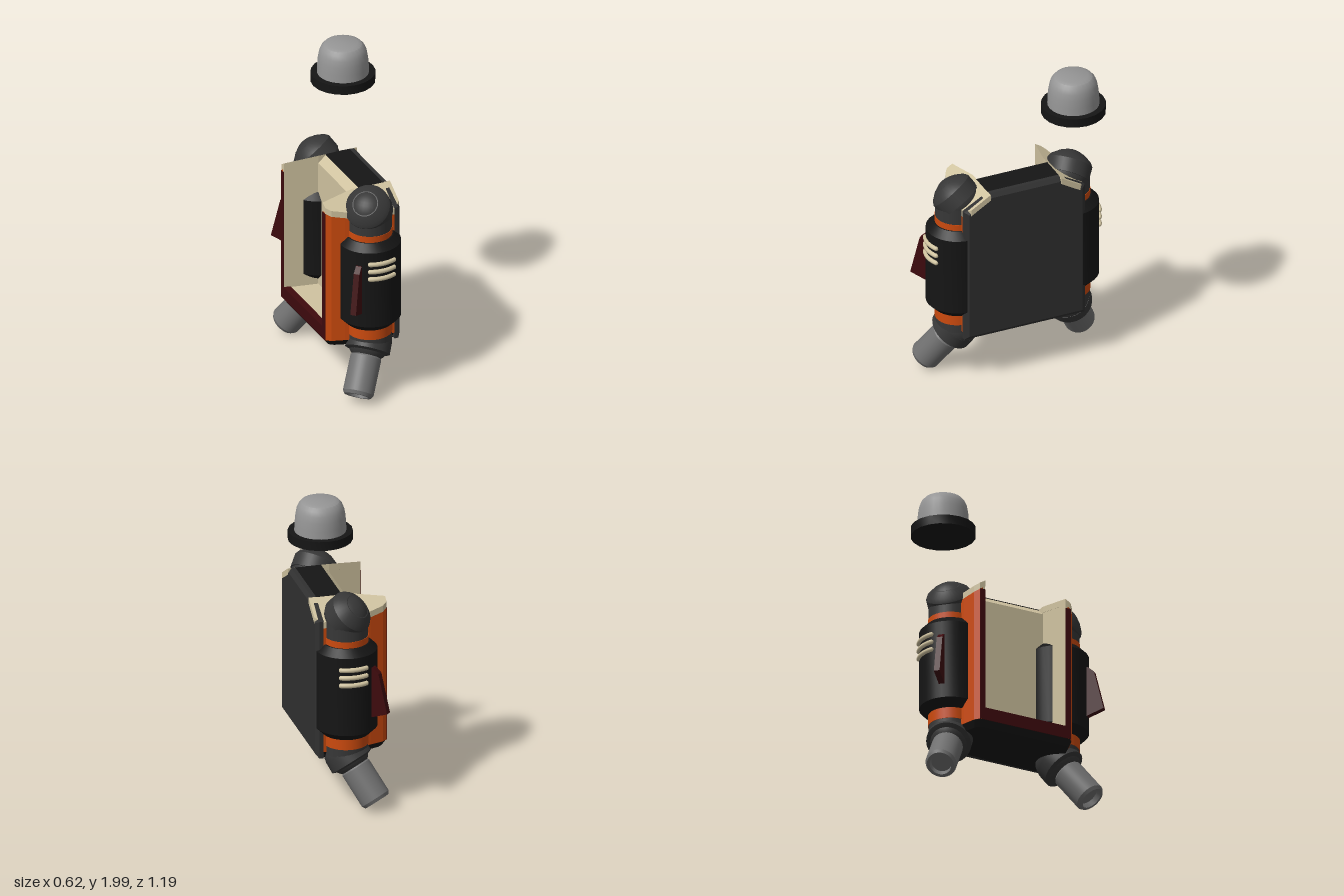
import * as THREE from 'three';
import { toCreasedNormals } from 'three/addons/utils/BufferGeometryUtils.js';

const paint = (color) => new THREE.MeshStandardMaterial({ color, roughness: 0.8 });
const ORANGE = paint(0xcc4a0e), BEIGE = paint(0xd0c3a0), BLACK = paint(0x151515);
const DARK = paint(0x373737), PLATE = paint(0x303030), RED = paint(0x3e0a0d);
const GREY = paint(0x707070), LIGHT = paint(0x959595);

// Roof line of the body: flat in the middle, sloping down towards both sides
const roof = (z) => 1.32 - 0.606 * Math.max(0, Math.abs(z) - 0.235);

export function createModel() {
  const model = new THREE.Group();

  const add = (parent, name, geometry, material) => {
    const mesh = new THREE.Mesh(geometry, material);
    mesh.name = name;
    parent.add(mesh);
    return mesh;
  };

  const box = (parent, name, material, x0, x1, y0, y1, z0, z1) => {
    const mesh = add(parent, name, new THREE.BoxGeometry(x1 - x0, y1 - y0, Math.abs(z1 - z0)), material);
    mesh.position.set((x0 + x1) / 2, (y0 + y1) / 2, (z0 + z1) / 2);
    return mesh;
  };

  // Turned part: profile of [radius, height], sharp edges kept
  const turned = (parent, name, profile, material, segments = 32) => {
    const points = profile.map(([r, y]) => new THREE.Vector2(r, y));
    return add(parent, name, toCreasedNormals(new THREE.LatheGeometry(points, segments), 0.5), material);
  };

  // Upright prism over a plan of [x, z], with height rules for its bottom and top
  const prism = (plan, bottom, top) => {
    const shape = new THREE.Shape(plan.map(([x, z]) => new THREE.Vector2(x, -z)));
    const geo = new THREE.ExtrudeGeometry(shape, { depth: 1, bevelEnabled: false }).rotateX(-Math.PI / 2);
    const p = geo.attributes.position;
    for (let i = 0; i < p.count; i++) p.setY(i, p.getY(i) > 0.5 ? top(p.getZ(i)) : bottom(p.getZ(i)));
    geo.computeVertexNormals();
    return geo;
  };

  // ---- Body: an open tray with a thick plate on +x ----
  const body = new THREE.Group();
  body.name = 'body';
  model.add(body);

  // plate with chamfered edges
  const plateShape = new THREE.Shape([
    [-0.375, 0.355], [0.375, 0.355], [0.375, 1.21], [0.225, 1.295], [-0.225, 1.295], [-0.375, 1.21],
  ].map(([z, y]) => new THREE.Vector2(-z, y)));
  const plateGeo = new THREE.ExtrudeGeometry(plateShape, {
    depth: 0.025, bevelThickness: 0.02, bevelSize: 0.025, bevelSegments: 1,
  });
  plateGeo.rotateY(Math.PI / 2).translate(0.11, 0, 0);
  add(body, 'backPlate', plateGeo, PLATE);

  // core wall with a bevelled inner lip
  const lining = new THREE.Shape([[-0.1, 0.4], [0, 0.4], [0, 1.315], [-0.05, 1.315], [-0.1, 1.27]]
    .map(([x, y]) => new THREE.Vector2(x, y)));
  add(body, 'innerWall', new THREE.ExtrudeGeometry(lining, { depth: 0.48, bevelEnabled: false })
    .translate(0, 0, -0.24), BEIGE);
  box(body, 'core', BLACK, -0.05, 0.115, 0.36, 1.32, -0.236, 0.236);
  box(body, 'floor', BEIGE, -0.28, -0.05, 0.38, 0.445, -0.28, 0.28);
  box(body, 'sill', RED, -0.312, -0.27, 0.37, 0.45, -0.277, 0.277);

  // base, tapered at its lower edge
  const edge = [[-0.31, 0.31], [-0.28, 0.335], [-0.2, 0.36], [-0.08, 0.39], [0.11, 0.4], [0.13, 0.395]];
  const outline = [...edge, ...edge.map(([x, z]) => [x, -z]).reverse()];
  const baseGeo = prism(outline, () => 0.33, () => 0.375);
  const bp = baseGeo.attributes.position;
  for (let i = 0; i < bp.count; i++) {
    if (bp.getY(i) < 0.35) { bp.setX(i, bp.getX(i) * 0.91); bp.setZ(i, bp.getZ(i) * 0.95); }
  }
  baseGeo.computeVertexNormals();
  add(body, 'base', baseGeo, BLACK);

  // side walls with lining, sloped caps and edge posts
  for (const s of [1, -1]) {
    const wall = (name, plan, bottom, top, material) =>
      add(body, name, prism(plan.map(([x, z]) => [x, z * s]), bottom, top), material);
    const outer = edge.slice(0, 5);
    wall('sideWall', [...outer, [0.11, 0.26], [-0.1, 0.26], [-0.31, 0.29]],
      () => 0.37, (z) => roof(z) - 0.04, ORANGE);
    wall('sideLining', [[-0.309, 0.275], [-0.309, 0.292], [-0.1, 0.265], [0, 0.265], [0, 0.235], [-0.1, 0.235]],
      () => 0.4, (z) => roof(z) - 0.02, BEIGE);
    wall('sideCap', [...outer, [0.115, 0.398], [0.157, 0.362], [0.157, 0.234], [-0.1, 0.234], [-0.31, 0.275]],
      (z) => roof(z) - 0.04, roof, BEIGE);
    box(body, 'edgePost', RED, -0.313, -0.28, 0.37, 1.235, 0.275 * s, 0.311 * s);
  }

  // ---- Side pods, mirrored front to back ----
  const makePod = (s) => {
    const pod = new THREE.Group();
    pod.name = s > 0 ? 'frontPod' : 'backPod';
    pod.position.set(-0.04, 0, 0.367 * s);
    model.add(pod);

    turned(pod, 'podBody', [[0, 0.48], [0.145, 0.48], [0.19, 0.525], [0.19, 1.03], [0.145, 1.075], [0, 1.075]], BLACK);
    turned(pod, 'podBands', [[0, 0.41], [0.137, 0.41], [0.137, 1.115], [0, 1.115]], ORANGE);

    // bent ends: a short neck, a ball to fill the bend, then a tilted head
    const bend = (name, y, neckY, dir) => {
      const joint = new THREE.Group();
      joint.name = name;
      joint.position.y = y;
      pod.add(joint);
      const neck = add(joint, 'neck', new THREE.CylinderGeometry(0.134, 0.134, Math.abs(neckY - y), 32), DARK);
      neck.position.y = (neckY - y) / 2;
      add(joint, 'ball', new THREE.SphereGeometry(0.135, 32, 20), DARK);
      const head = new THREE.Group();
      head.name = 'head';
      head.quaternion.setFromUnitVectors(new THREE.Vector3(0, 1, 0), new THREE.Vector3(...dir).normalize());
      joint.add(head);
      return head;
    };

    // upper end with a round lens
    const upper = bend('upperElbow', 1.23, 1.11, [-0.5, 0.707, 0.5 * s]);
    turned(upper, 'upperHead', [[0, -0.03], [0.138, -0.03], [0.14, 0.055], [0.125, 0.08], [0.08, 0.112], [0, 0.112]], DARK);
    turned(upper, 'lensRing', [[0, 0.1], [0.064, 0.1], [0.064, 0.115], [0, 0.115]], BLACK, 24);
    const star = new THREE.Shape();
    for (let i = 0; i < 24; i++) {
      const a = (i / 24) * Math.PI * 2, r = i % 2 ? 0.05 : 0.061;
      star[i ? 'lineTo' : 'moveTo'](r * Math.cos(a), r * Math.sin(a));
    }
    add(upper, 'lens', new THREE.ExtrudeGeometry(star, { depth: 0.01, bevelEnabled: false })
      .rotateX(-Math.PI / 2).translate(0, 0.109, 0), RED);

    // lower end with a hollow nozzle
    const lower = bend('lowerElbow', 0.34, 0.415, [-0.434, -0.79, 0.434 * s]);
    turned(lower, 'lowerHead', [[0, -0.01], [0.136, -0.01], [0.138, 0.065], [0.1, 0.08], [0, 0.08]], DARK);
    turned(lower, 'nozzle', [[0, 0.06], [0.075, 0.06], [0.075, 0.1], [0.088, 0.1], [0.095, 0.11], [0.095, 0.33],
      [0.083, 0.35], [0.066, 0.35], [0.062, 0.315], [0, 0.315]], GREY);

    // vent ribs wrapped round the pod
    for (const y of [0.855, 0.905, 0.955]) {
      const arc = 0.42;
      const rib = new THREE.Group();
      rib.name = 'ventRib';
      rib.position.y = y;
      pod.add(rib);
      const mid = -s * Math.PI / 2;
      add(rib, 'ribBar', new THREE.TorusGeometry(0.192, 0.015, 10, 16, arc * 2)
        .rotateZ(mid - arc).rotateX(Math.PI / 2).rotateX(Math.PI), BEIGE);
      for (const a of [mid - arc, mid + arc]) {
        add(rib, 'ribEnd', new THREE.SphereGeometry(0.015, 10, 8), BEIGE)
          .position.set(0.192 * Math.cos(a), 0, -0.192 * Math.sin(a));
      }
    }

    // fin set diagonally on the pod
    const fin = new THREE.Shape([[0.15, 0.94], [0.195, 0.94], [0.235, 0.905], [0.295, 0.655], [0.19, 0.615], [0.15, 0.615]]
      .map(([r, y]) => new THREE.Vector2(r, y)));
    add(pod, 'fin', new THREE.ExtrudeGeometry(fin, { depth: 0.036, bevelEnabled: false })
      .translate(0, 0, -0.018).rotateY(Math.atan2(-s, -1)), RED);
  };
  makePod(1);
  makePod(-1);

  // ---- Floating cap ----
  const cap = new THREE.Group();
  cap.name = 'floatingCap';
  cap.position.set(0.112, 0, -0.335);
  model.add(cap);
  turned(cap, 'capRim', [[0, 1.745], [0.197, 1.745], [0.197, 1.803], [0, 1.803]], BLACK, 20);
  turned(cap, 'capDome', [[0.158, 1.8], [0.156, 1.85], [0.152, 1.9], [0.145, 1.94], [0.133, 1.97],
    [0.115, 1.99], [0.09, 1.999], [0, 2]], LIGHT, 28);

  return model;
}
